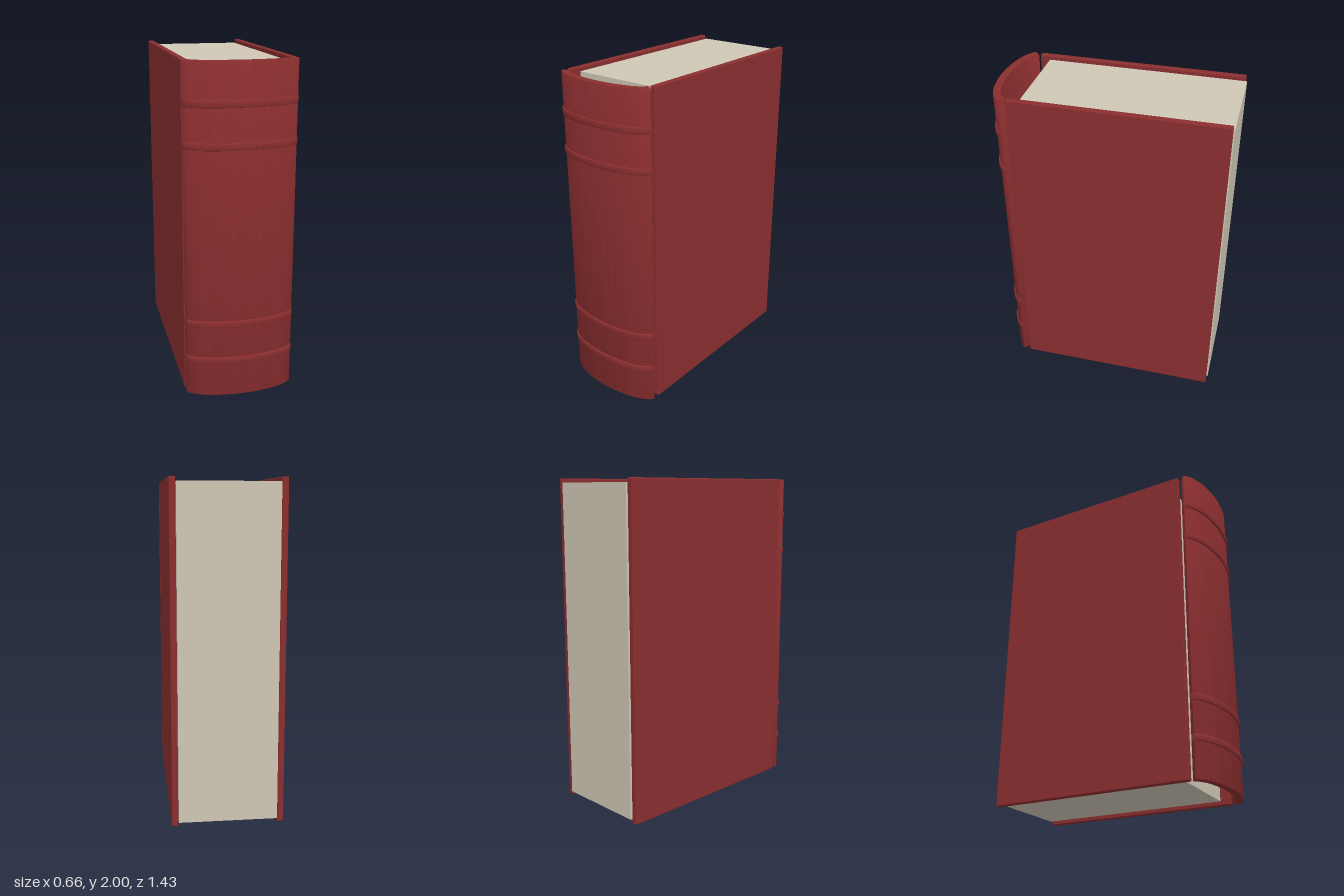
import * as THREE from 'three';
import { toCreasedNormals } from 'three/addons/utils/BufferGeometryUtils.js';
import { RoundedBoxGeometry } from 'three/addons/geometries/RoundedBoxGeometry.js';

const red = new THREE.MeshStandardMaterial({ color: 0x8b2e2f });
red.name = 'red leather';
const cream = new THREE.MeshStandardMaterial({ color: 0xcfc7b5 });
cream.name = 'cream paper';

// Half profiles of the curved spine as [x, z], from the middle to the edge
const OUTER = [[0, 0.706], [0.1, 0.7], [0.2, 0.682], [0.27, 0.657], [0.315, 0.628], [0.33, 0.606]];
const INNER = [[0, 0.66], [0.1, 0.654], [0.2, 0.635], [0.25, 0.615], [0.277, 0.595], [0.292, 0.575]];

// Smooth symmetric curve running from -x to +x; y is -z so it can be stood upright
function arc(half, grow = 0) {
  const pts = half.map(([x, z]) => new THREE.Vector2(x, -z - grow));
  const mirrored = pts.slice(1).reverse().map((p) => new THREE.Vector2(-p.x, p.y));
  return new THREE.SplineCurve([...mirrored, ...pts]).getPoints(40);
}

// Curved slab extruded upward between two heights, with softened edges
function curvedSlab(name, outer, inner, y0, y1, bevel) {
  const shape = new THREE.Shape([...outer, ...inner.slice().reverse()]);
  const geo = new THREE.ExtrudeGeometry(shape, {
    depth: y1 - y0 - 2 * bevel,
    bevelEnabled: true, bevelThickness: bevel, bevelSize: bevel, bevelOffset: -bevel, bevelSegments: 2,
  });
  geo.rotateX(-Math.PI / 2);
  geo.translate(0, y0 + bevel, 0);
  const mesh = new THREE.Mesh(toCreasedNormals(geo, 0.6), red);
  mesh.name = name;
  return mesh;
}

export function createModel() {
  const book = new THREE.Group();
  book.name = 'book';

  // Page block
  const pages = new THREE.Mesh(new THREE.BoxGeometry(0.58, 1.95, 1.22), cream);
  pages.name = 'pages';
  pages.position.set(0, 1, -0.105);
  book.add(pages);

  // Two cover boards
  for (const side of [1, -1]) {
    const cover = new THREE.Mesh(new RoundedBoxGeometry(0.038, 2, 1.274, 2, 0.007), red);
    cover.name = side > 0 ? 'leftCover' : 'rightCover';
    cover.position.set(side * 0.311, 1, -0.07);
    book.add(cover);
  }

  // Rounded spine
  book.add(curvedSlab('spine', arc(OUTER), arc(INNER), 0, 2, 0.005));

  // Raised bands across the spine
  [0.235, 0.47, 1.535, 1.77].forEach((y, i) => {
    book.add(curvedSlab(`spineBand${i + 1}`, arc(OUTER, 0.01), arc(OUTER, -0.012), y - 0.021, y + 0.021, 0.005));
  });

  return book;
}
